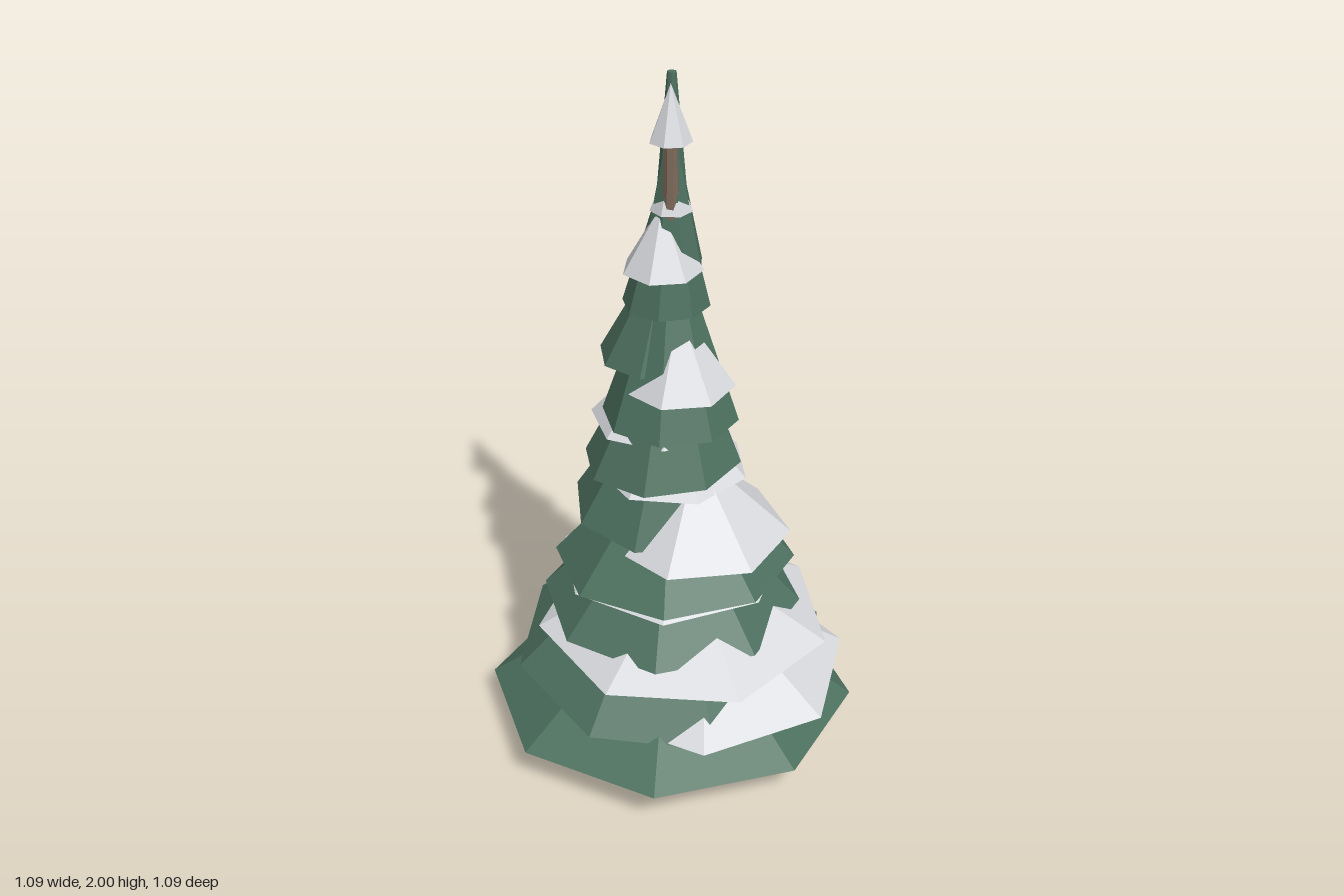
import * as THREE from 'three';

const RAD = Math.PI / 180;

// Faceted layer: flat or sloping base ring, leaning towards its own peak.
// phase is the angle of one base corner, measured from +x towards +z.
function layer({ x, z, y, r, top, rTop = 0, px = x, pz = z, tiltX = 0, tiltZ = 0, phase = 0, sides }) {
  let g = new THREE.CylinderGeometry(rTop, r, 1, sides, 1, false, (90 - phase) * RAD);
  const p = g.attributes.position;
  for (let i = 0; i < p.count; i++) {
    const lx = p.getX(i), lz = p.getZ(i);
    if (p.getY(i) > 0) p.setXYZ(i, px + lx, top, pz + lz);
    else p.setXYZ(i, x + lx, y + tiltX * lx + tiltZ * lz, z + lz);
  }
  g = g.toNonIndexed();
  g.computeVertexNormals();
  return g;
}

// x, z, base y, radius, peak y, slope in x, slope in z, corner angle
const BRANCHES = [
  [0, 0, 0.085, 0.545, 0.47, -0.01, 0.065, 0],
  [0, -0.02, 0.235, 0.465, 0.69, -0.02, -0.09, 25],
  [0, -0.03, 0.41, 0.38, 0.82, 0, -0.03, 2],
  [0.01, -0.01, 0.565, 0.348, 0.95, 0.02, 0.04, 0],
  [-0.03, -0.05, 0.72, 0.258, 1.2, -0.02, -0.07, 12],
  [-0.025, -0.025, 0.885, 0.225, 1.38, 0.04, 0, 8],
  [0, 0.01, 1.043, 0.19, 1.6, -0.02, 0.02, 4],
  [-0.045, -0.04, 1.205, 0.157, 1.58, 0, 0, 10],
  [-0.015, -0.038, 1.36, 0.12, 1.8, 0, 0, 5],
  [0, -0.035, 1.48, 0.085, 1.9, 0, 0, 20],
];

// x, z, base y, radius, peak y, corner angle
const SNOW = [
  [0.1, 0.02, 0.2, 0.43, 0.48, -17],
  [0.04, 0.01, 0.355, 0.43, 0.6, 13],
  [0, -0.05, 0.52, 0.335, 0.76, 38],
  [0.075, 0.025, 0.68, 0.27, 0.93, 0],
  [0, -0.05, 0.84, 0.22, 1.08, 15],
  [-0.035, -0.05, 1.0, 0.195, 1.22, 30],
  [0.025, 0.035, 1.155, 0.155, 1.38, 0],
  [-0.022, -0.005, 1.475, 0.11, 1.66, 0],
  [0, -0.025, 1.635, 0.058, 1.78, 10],
  [0, -0.002, 1.83, 0.057, 1.98, 0],
];

export function createModel() {
  const tree = new THREE.Group();
  tree.name = 'snowyTree';

  const make = (name, hex) => {
    const m = new THREE.MeshStandardMaterial({ color: hex });
    m.name = name;
    return m;
  };
  const green = make('needleGreen', 0x4d705f);
  const white = make('snowWhite', 0xd6d8dc);
  const brown = make('barkBrown', 0x7d6a5a);

  const add = (name, geometry, material) => {
    const mesh = new THREE.Mesh(geometry, material);
    mesh.name = name;
    tree.add(mesh);
  };

  // Tapering trunk running up through the branches
  add('trunk', layer({ x: 0, z: 0, y: 0, r: 0.063, top: 1.85, rTop: 0.018, sides: 8, phase: 22.5 }), brown);

  // Branch tiers
  BRANCHES.forEach(([x, z, y, r, top, tiltX, tiltZ, phase], i) => {
    add(`branchTier${i + 1}`,
      layer({ x, z, y, r, top, px: 0, pz: -0.02, tiltX, tiltZ, phase, sides: 8 }), green);
  });

  // Slim spire at the tip
  add('spire', layer({ x: 0, z: -0.035, y: 1.62, r: 0.045, top: 2, rTop: 0.012, pz: -0.033, sides: 8 }), green);

  // Snow caps lying between the tiers
  SNOW.forEach(([x, z, y, r, top, phase], i) => {
    add(`snowCap${i + 1}`, layer({ x, z, y, r, top, phase, sides: 7 }), white);
  });

  return tree;
}
